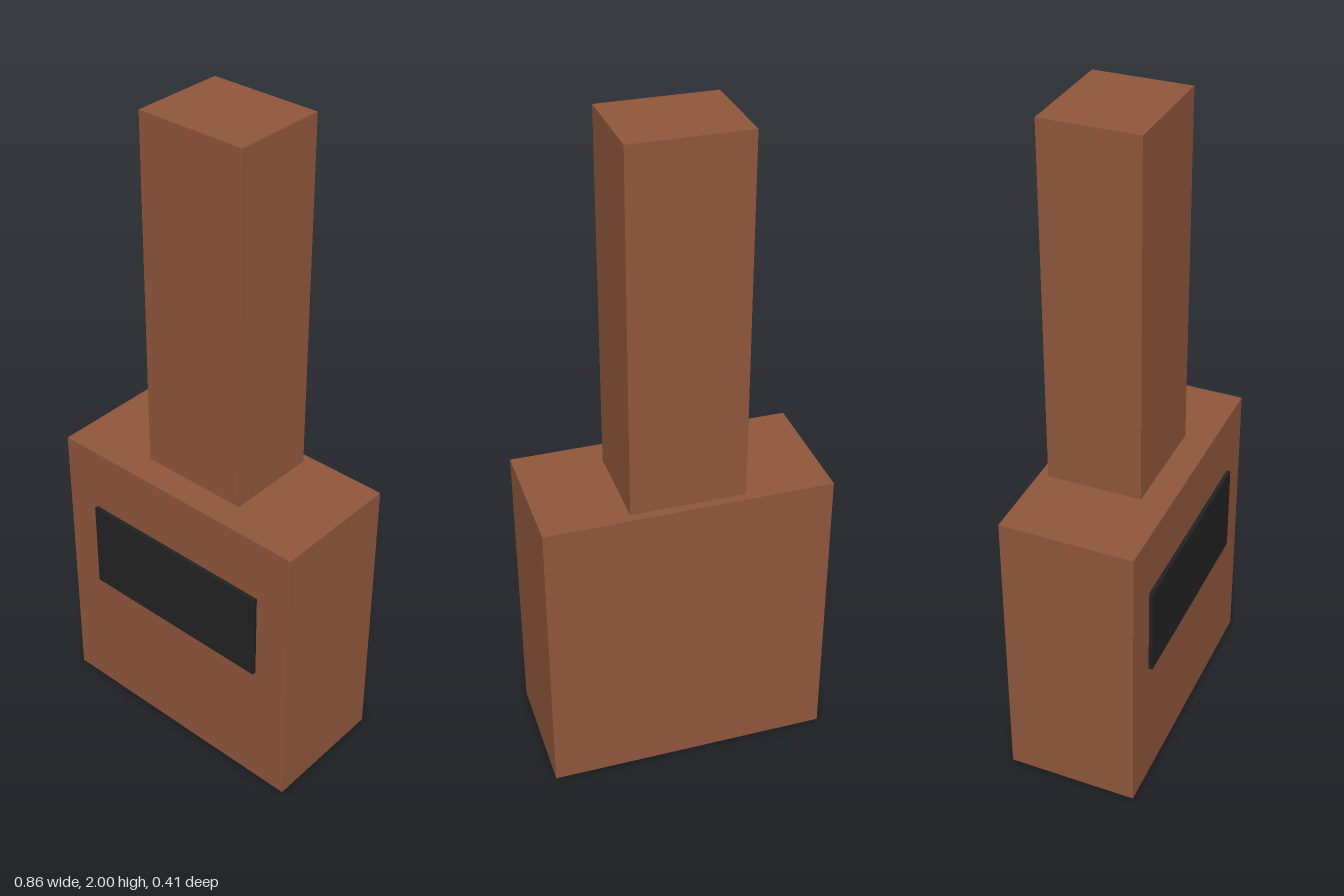
import * as THREE from 'three';

const brick = new THREE.MeshStandardMaterial({ color: 0x8f563b });
brick.name = 'brick brown';
const soot = new THREE.MeshStandardMaterial({ color: 0x222222 });
soot.name = 'soot black';

// Box centred on x, spanning the given y and z ranges
function block(name, material, width, [y0, y1], [z0, z1]) {
  const mesh = new THREE.Mesh(new THREE.BoxGeometry(width, y1 - y0, z1 - z0), material);
  mesh.position.set(0, (y0 + y1) / 2, (z0 + z1) / 2);
  mesh.name = name;
  return mesh;
}

export function createModel() {
  const model = new THREE.Group();
  model.name = 'fireplace';
  model.add(
    // Wide hearth body standing on the floor
    block('hearthBody', brick, 0.856, [0, 0.915], [-0.206, 0.194]),
    // Chimney, set towards the back
    block('chimney', brick, 0.342, [0.915, 2], [-0.178, 0.108]),
    // Dark fire opening, raised slightly from the front
    block('fireOpening', soot, 0.628, [0.43, 0.715], [0.194, 0.206])
  );
  return model;
}
